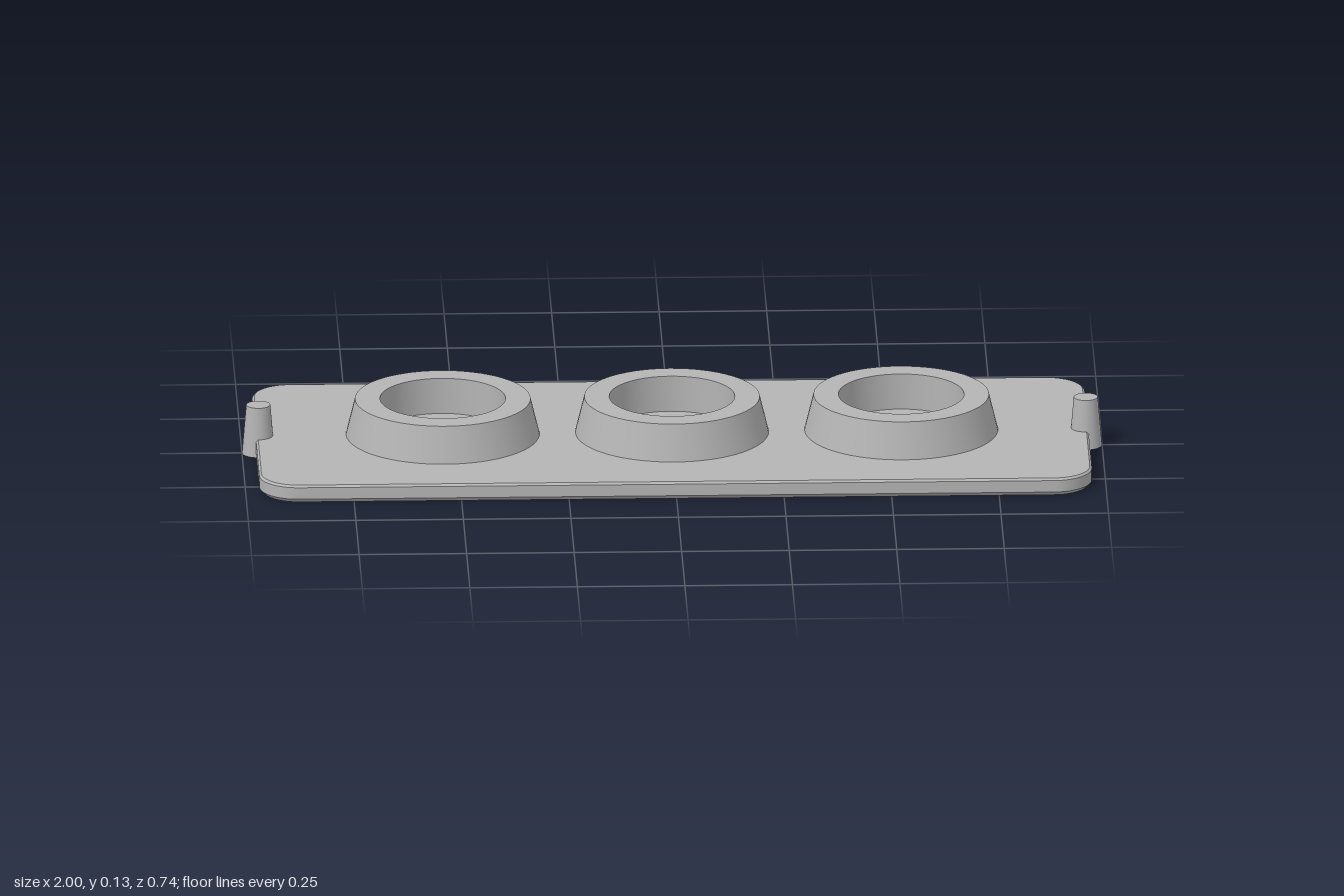
import * as THREE from 'three';
import { toCreasedNormals } from 'three/addons/utils/BufferGeometryUtils.js';

const PLATE_TOP = 0.043;

// Rounded rectangle outline in the xz plane, shrunk by inset
function outline(halfX, halfZ, radius, inset) {
  const points = [], steps = 10;
  const corners = [[1, 1], [-1, 1], [-1, -1], [1, -1]];
  corners.forEach(([sx, sz], c) => {
    for (let i = 0; i <= steps; i++) {
      const a = (c + i / steps) * Math.PI / 2;
      points.push([
        sx * (halfX - radius) + Math.cos(a) * (radius - inset),
        sz * (halfZ - radius) + Math.sin(a) * (radius - inset),
      ]);
    }
  });
  return points;
}

// Plate lofted from stacked outlines, with chamfered lower and upper edges
function plateGeometry() {
  const layers = [[0.01, 0], [0, 0.01], [0, 0.038], [0.005, PLATE_TOP]];
  const positions = [], index = [];
  let n = 0;
  for (const [inset, y] of layers) {
    const loop = outline(0.968, 0.372, 0.09, inset);
    n = loop.length;
    for (const [x, z] of loop) positions.push(x, y, z);
  }
  const last = (layers.length - 1) * n;
  const bottom = positions.length / 3, top = bottom + 1;
  positions.push(0, 0, 0, 0, PLATE_TOP, 0);
  for (let i = 0; i < n; i++) {
    const k = (i + 1) % n;
    for (let o = 0; o < last; o += n) {
      index.push(o + i, o + n + i, o + k, o + k, o + n + i, o + n + k);
    }
    index.push(bottom, i, k, top, last + k, last + i);
  }
  const geometry = new THREE.BufferGeometry();
  geometry.setAttribute('position', new THREE.Float32BufferAttribute(positions, 3));
  geometry.setIndex(index);
  return toCreasedNormals(geometry, 0.5);
}

export function createModel() {
  const model = new THREE.Group();
  const grey = new THREE.MeshStandardMaterial({ color: 0xb4b4b4 });
  grey.name = 'grey';

  const add = (name, geometry, x = 0, y = 0) => {
    const mesh = new THREE.Mesh(geometry, grey);
    mesh.name = name;
    mesh.position.set(x, y, 0);
    model.add(mesh);
  };

  add('basePlate', plateGeometry());

  // Three raised rings with sloping outer walls and straight bores
  const profile = [[0.225, PLATE_TOP], [0.204, 0.129], [0.146, 0.129], [0.146, PLATE_TOP]]
    .map(([r, y]) => new THREE.Vector2(r, y));
  const ring = toCreasedNormals(new THREE.LatheGeometry(profile, 64), 0.5);
  ['rightRing', 'middleRing', 'leftRing'].forEach((name, i) => add(name, ring, (i - 1) * 0.533));

  // Tapered pegs straddling both short ends
  const peg = new THREE.CylinderGeometry(0.028, 0.038, 0.118, 32);
  add('rightPeg', peg, -0.962, 0.059);
  add('leftPeg', peg, 0.962, 0.059);

  return model;
}
